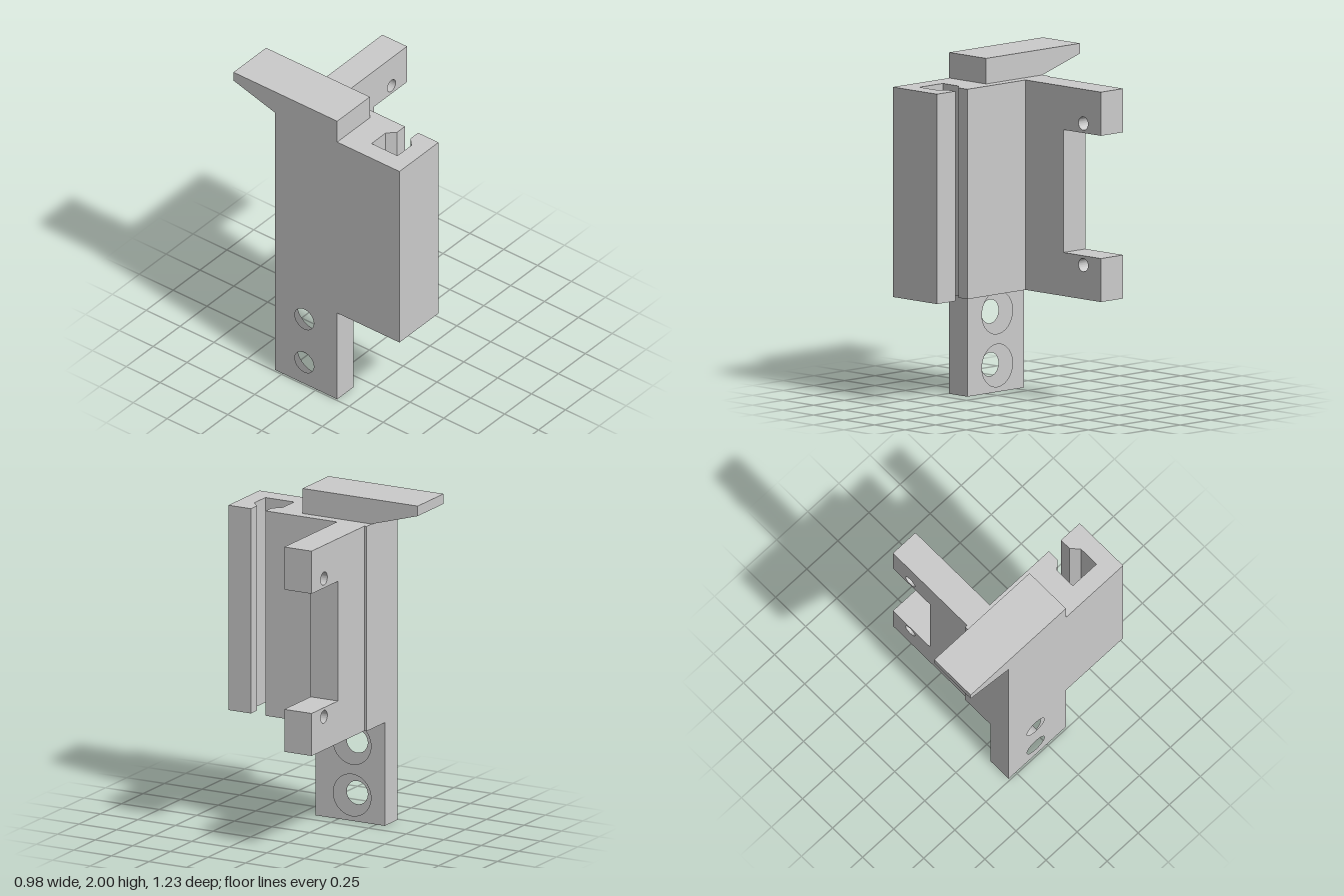
import * as THREE from 'three';
import { toCreasedNormals } from 'three/addons/utils/BufferGeometryUtils.js';

const material = new THREE.MeshStandardMaterial({ color: 0xcccccc });

// Outline with round holes given as [u, v, radius]
function outline(points, holes = []) {
  const shape = new THREE.Shape(points.map(([u, v]) => new THREE.Vector2(u, v)));
  for (const [u, v, r] of holes) {
    shape.holes.push(new THREE.Path().absarc(u, v, r, 0, Math.PI * 2, true));
  }
  return shape;
}

function extrude(shape, depth) {
  return new THREE.ExtrudeGeometry(shape, { depth, bevelEnabled: false, curveSegments: 24 });
}

// Extrude a (z, y) outline from x0 to x1
function alongX(points, holes, x0, x1) {
  const shape = outline(points.map(([z, y]) => [-z, y]), holes.map(([z, y, r]) => [-z, y, r]));
  return extrude(shape, x1 - x0).rotateY(Math.PI / 2).translate(x0, 0, 0);
}

// Extrude an (x, z) outline from y0 to y1
function alongY(points, y0, y1) {
  return extrude(outline(points.map(([x, z]) => [x, -z])), y1 - y0)
    .rotateX(-Math.PI / 2).translate(0, y0, 0);
}

function part(name, geometry) {
  const mesh = new THREE.Mesh(toCreasedNormals(geometry, 0.6), material);
  mesh.name = name;
  return mesh;
}

export function createModel() {
  const model = new THREE.Group();
  model.name = 'mountingBracket';

  const left = -0.49, bottom = 0.62, top = 1.85, back = -0.307, mid = 0.153;

  // Tall body with a chamfered slot open to the side
  model.add(part('slottedBody', alongY([
    [left, back], [-0.128, back], [-0.128, 0.365], [-0.2, 0.365], [-0.247, 0.317],
    [-0.377, 0.317], [-0.377, 0.508], [-0.247, 0.508], [-0.2, 0.463],
    [-0.128, 0.463], [-0.128, 0.613], [left, 0.613],
  ], bottom, top)));

  // C-shaped side plate with a small hole in each arm
  const plate = outline([
    [-0.128, bottom], [0.49, bottom], [0.49, 0.875], [0.182, 0.875],
    [0.182, 1.594], [0.49, 1.594], [0.49, top], [-0.128, top],
  ], [[0.345, 0.82, 0.039], [0.345, 1.65, 0.039]]);
  model.add(part('sidePlate', extrude(plate, 0.182).translate(0, 0, -0.292)));

  // Top hook with a sloped underside reaching backwards
  model.add(part('topHook', alongX([
    [mid, top], [mid, 2], [-0.613, 2], [-0.613, 1.94], [back, top],
  ], [], left, -0.187)));

  // Lower tab: two layers give the screw holes their counterbores
  const tab = new THREE.Group();
  tab.name = 'screwTab';
  const face = [[mid, 0], [mid, bottom], [back, bottom], [back, 0]];
  const holes = (r) => [0.155, 0.465].map((y) => [-0.09, y, r]);
  tab.add(part('tabBackLayer', alongX(face, holes(0.07), left, -0.4)));
  tab.add(part('tabCounterboreLayer', alongX(face, holes(0.125), -0.4, -0.34)));
  model.add(tab);

  return model;
}
